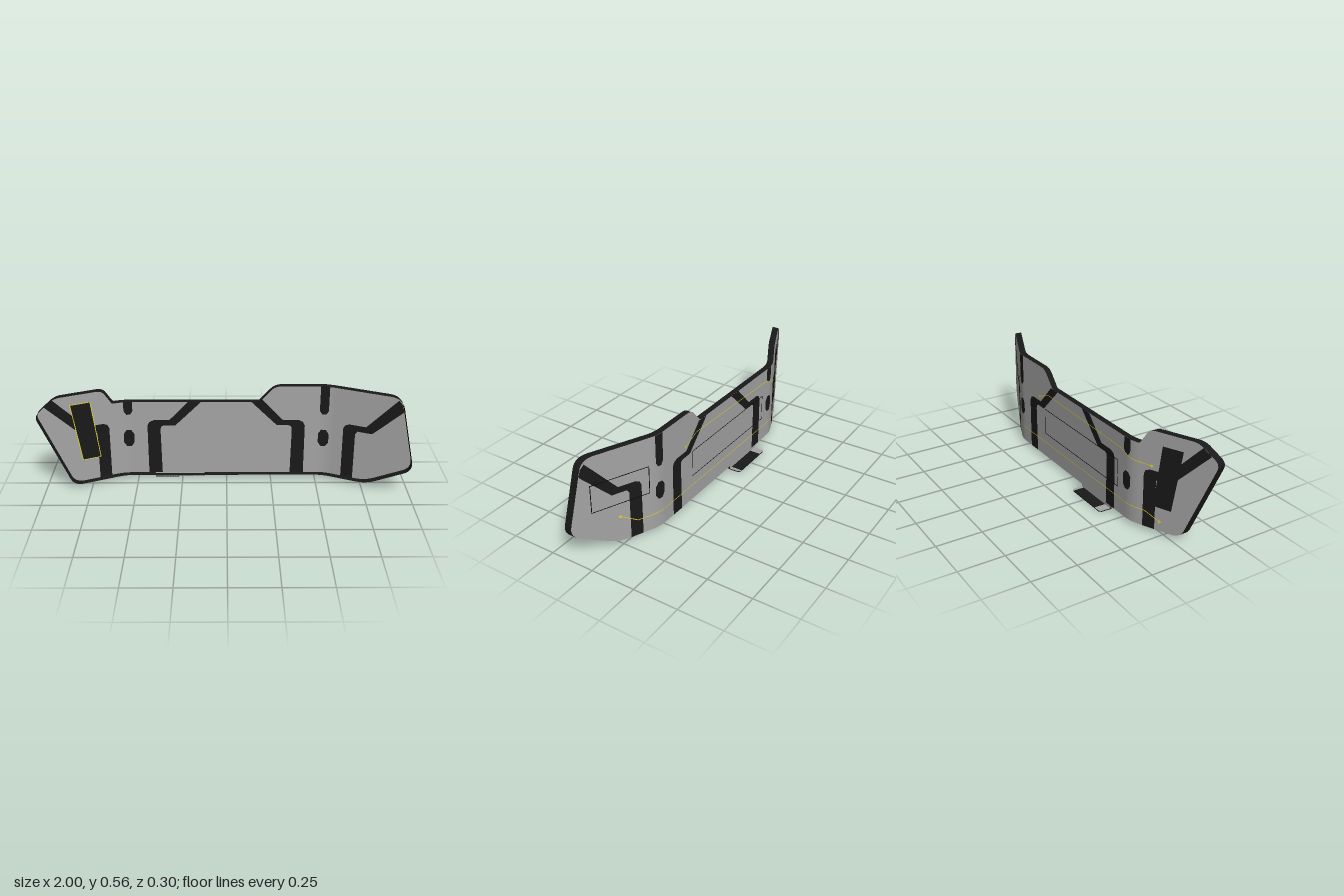
import * as THREE from 'three';
import { mergeVertices } from 'three/addons/utils/BufferGeometryUtils.js';

const mat = (name, color, side = THREE.FrontSide) => {
  const m = new THREE.MeshStandardMaterial({ color, side });
  m.name = name;
  return m;
};

// Bent profile: flat centre, soft fold, straight wings. Depth depends on x only.
const CENTRE = -0.015, SLOPE = 0.445, SOFT = 0.045;
function rise(x, fold) {
  const d = Math.abs(x - CENTRE) - fold;
  if (d < -SOFT) return 0;
  return d > SOFT ? SLOPE * d : SLOPE * (d + SOFT) ** 2 / (4 * SOFT);
}
const backZ = (x) => -0.086 + rise(x, 0.568);
const rimZ = (x) => -0.053 + rise(x, 0.554);
const cuts = [];
for (let i = 0; i <= 12; i++) {
  const d = 0.509 + i * 0.00875;
  cuts.push(CENTRE - d, CENTRE + d);
}
cuts.sort((a, b) => a - b);

// Keep the side of a polygon where sign * (x - limit) >= 0
function clip(pts, limit, sign) {
  const out = [];
  pts.forEach((a, i) => {
    const b = pts[(i + 1) % pts.length];
    const da = sign * (a.x - limit), db = sign * (b.x - limit);
    if (da >= 0) out.push(a);
    if (da * db < 0) out.push(new THREE.Vector2(limit, a.y + (b.y - a.y) * da / (da - db)));
  });
  return out;
}

function toGeometry(positions) {
  const g = new THREE.BufferGeometry();
  g.setAttribute('position', new THREE.Float32BufferAttribute(positions, 3));
  return g;
}

// Flat outlines draped over the front or back of the bent sheet
function sheet(outlines, front, lift = 0) {
  const pos = [];
  const z = (x) => backZ(x) + (front ? lift : -lift);
  const limits = [-2, ...cuts, 2];
  for (const outline of outlines) {
    for (let i = 0; i + 1 < limits.length; i++) {
      const strip = clip(clip(outline, limits[i], 1), limits[i + 1], -1);
      if (strip.length < 3) continue;
      if (THREE.ShapeUtils.isClockWise(strip)) strip.reverse();
      for (const f of THREE.ShapeUtils.triangulateShape(strip, [])) {
        for (const k of front ? f : [f[0], f[2], f[1]]) {
          pos.push(strip[k].x, strip[k].y, z(strip[k].x));
        }
      }
    }
  }
  const g = mergeVertices(toGeometry(pos));
  g.computeVertexNormals();
  return g;
}

// Wall standing forward around a counter-clockwise outline
function rim(outline) {
  const pos = [];
  outline.forEach((a, i) => {
    const b = outline[(i + 1) % outline.length];
    const ts = cuts.map((c) => (c - a.x) / (b.x - a.x)).filter((t) => t > 0 && t < 1);
    const path = [0, ...ts.sort((p, q) => p - q), 1].map((t) => a.clone().lerp(b, t));
    for (let k = 0; k + 1 < path.length; k++) {
      const p = path[k], q = path[k + 1];
      const pb = [p.x, p.y, backZ(p.x)], qb = [q.x, q.y, backZ(q.x)];
      const pf = [p.x, p.y, rimZ(p.x)], qf = [q.x, q.y, rimZ(q.x)];
      pos.push(...pb, ...qb, ...qf, ...pb, ...qf, ...pf);
    }
  });
  const g = toGeometry(pos);
  g.computeVertexNormals();
  return g;
}

// Polygon with rounded corners, each corner [x, y, radius]
function rounded(corners) {
  const n = corners.length, out = [];
  const v = corners.map(([x, y]) => new THREE.Vector2(x, y));
  corners.forEach(([, , r], i) => {
    const toward = (o) => v[i].clone().add(o.clone().sub(v[i]).setLength(r));
    const curve = new THREE.QuadraticBezierCurve(toward(v[(i + n - 1) % n]), v[i], toward(v[(i + 1) % n]));
    out.push(...curve.getPoints(8));
  });
  return out;
}

const poly = (list) => list.map(([x, y]) => new THREE.Vector2(x, y));
const mirror = (list) => list.map(([x, y]) => [-0.005 - x, y]);

// Thin line made of one quad per segment
function line(list, width, closed = false) {
  const pts = poly(closed ? [...list, list[0]] : list);
  return pts.slice(1).map((b, i) => {
    const a = pts[i], d = b.clone().sub(a).setLength(width / 2);
    const s = new THREE.Vector2(-d.y, d.x);
    const p = a.clone().sub(d), q = b.clone().add(d);
    return [p.clone().sub(s), q.clone().sub(s), q.clone().add(s), p.clone().add(s)];
  });
}
const box = (x0, x1, y0, y1) => [[x0, y0], [x1, y0], [x1, y1], [x0, y1]];
const dot = ([x, y]) => new THREE.Path().absarc(x, y, 0.008, 0, Math.PI * 2).getPoints(8).slice(0, -1);

export function createModel() {
  const model = new THREE.Group();
  const grey = mat('panel grey', 0xa5a5a5, THREE.DoubleSide);
  const dark = mat('dark trim', 0x191919, THREE.DoubleSide);
  const black = mat('black line', 0x050505);
  const yellow = mat('yellow line', 0xf6e62c);
  const add = (name, geometry, material, parent = model) => {
    const m = new THREE.Mesh(geometry, material);
    m.name = name;
    parent.add(m);
    return m;
  };

  // Bent sheet with a raised edge, open to the front
  const outline = rounded([
    [-0.845, 0.022, 0.05], [0.775, 0.022, 0.055], [1.008, 0.155, 0.055], [0.926, 0.564, 0.06],
    [0.263, 0.564, 0.035], [0.18, 0.473, 0.008], [-0.623, 0.473, 0.01], [-0.672, 0.558, 0.03],
    [-0.91, 0.558, 0.03], [-1.012, 0.475, 0.035],
  ]);
  add('panel', sheet([outline], true), grey);
  add('panelRim', rim(outline), dark);

  // Painted bands, shared by both faces
  const inner = [[0.36, 0.022], [0.436, 0.022], [0.436, 0.315], [0.425, 0.338], [0.4, 0.35], [0.313, 0.35],
    [0.195, 0.473], [0.122, 0.473], [0.28, 0.318], [0.345, 0.318], [0.36, 0.31], [0.364, 0.29]];
  const outer = (ends) => [[0.645, 0.022], [0.708, 0.022], [0.708, 0.295], [0.72, 0.312], [0.795, 0.312],
    ...ends, [0.762, 0.347], [0.675, 0.347], [0.653, 0.336], [0.645, 0.315]];
  const tab = (top) => [[0.53, 0.383], [0.551, 0.383], [0.565, 0.405], [0.565, top], [0.516, top], [0.516, 0.405]];
  const block = [[0.528, 0.19], [0.554, 0.19], [0.57, 0.214], [0.57, 0.266],
    [0.554, 0.29], [0.528, 0.29], [0.512, 0.266], [0.512, 0.214]];
  const rightEnds = [[0.944, 0.472], [0.935, 0.51], [0.915, 0.535]];
  const leftEnds = [[0.968, 0.506], [0.927, 0.54]];
  const pad = [[-0.795, 0.152], [-0.702, 0.152], [-0.74, 0.49], [-0.842, 0.49]];
  const bands = [inner, mirror(inner), outer(rightEnds), mirror(outer(leftEnds)),
    tab(0.564), mirror(tab(0.473)), block, mirror(block)].map(poly);
  for (const front of [true, false]) {
    const side = front ? 'Front' : 'Back';
    add('bands' + side, sheet(bands, front, 0.001), dark);
    add('wingPad' + side, sheet([poly(pad)], front, 0.0015), dark);
  }

  // Thin outlines and guide lines
  add('padOutline', sheet(line(pad, 0.004, true), true, 0.0025), yellow);
  add('backFrames', sheet([
    ...line(box(-0.47, 0.26, 0.17, 0.32), 0.004, true),
    ...line(box(0.605, 0.897, 0.25, 0.405), 0.004, true),
  ], false, 0.002), black);
  const lower = [[0.76, 0.172], [0.67, 0.113], [-0.66, 0.113], [-0.74, 0.075]];
  const upper = [[0.32, 0.38], [0.22, 0.42], [-0.5, 0.4], [-0.58, 0.375], [-0.69, 0.37]];
  for (const [name, path] of [['lowerGuide', lower], ['upperGuide', upper]]) {
    add(name, sheet([...line(path, 0.004), dot(path[0]), dot(path.at(-1))], false, 0.003), yellow);
  }

  // Folded foot bracket under the rear edge
  const bracket = new THREE.Group();
  bracket.name = 'footBracket';
  model.add(bracket);
  const web = add('bracketWeb', new THREE.BoxGeometry(0.28, 0.022, 0.008),
    [dark, dark, grey, dark, grey, grey], bracket);
  web.position.set(-0.265, 0.013, -0.081);
  const flangeShape = new THREE.Shape(poly([[-0.405, 0.077], [-0.125, 0.077], [-0.125, 0.138],
    [-0.138, 0.15], [-0.392, 0.15], [-0.405, 0.138]]));
  const flange = new THREE.ExtrudeGeometry(flangeShape, { depth: 0.005, bevelEnabled: false });
  flange.rotateX(-Math.PI / 2);
  add('bracketFlange', flange, [grey, dark], bracket);
  const grip = add('bracketPad', new THREE.BoxGeometry(0.208, 0.002, 0.064), dark, bracket);
  grip.position.set(-0.25, 0.0055, -0.118);
  return model;
}
